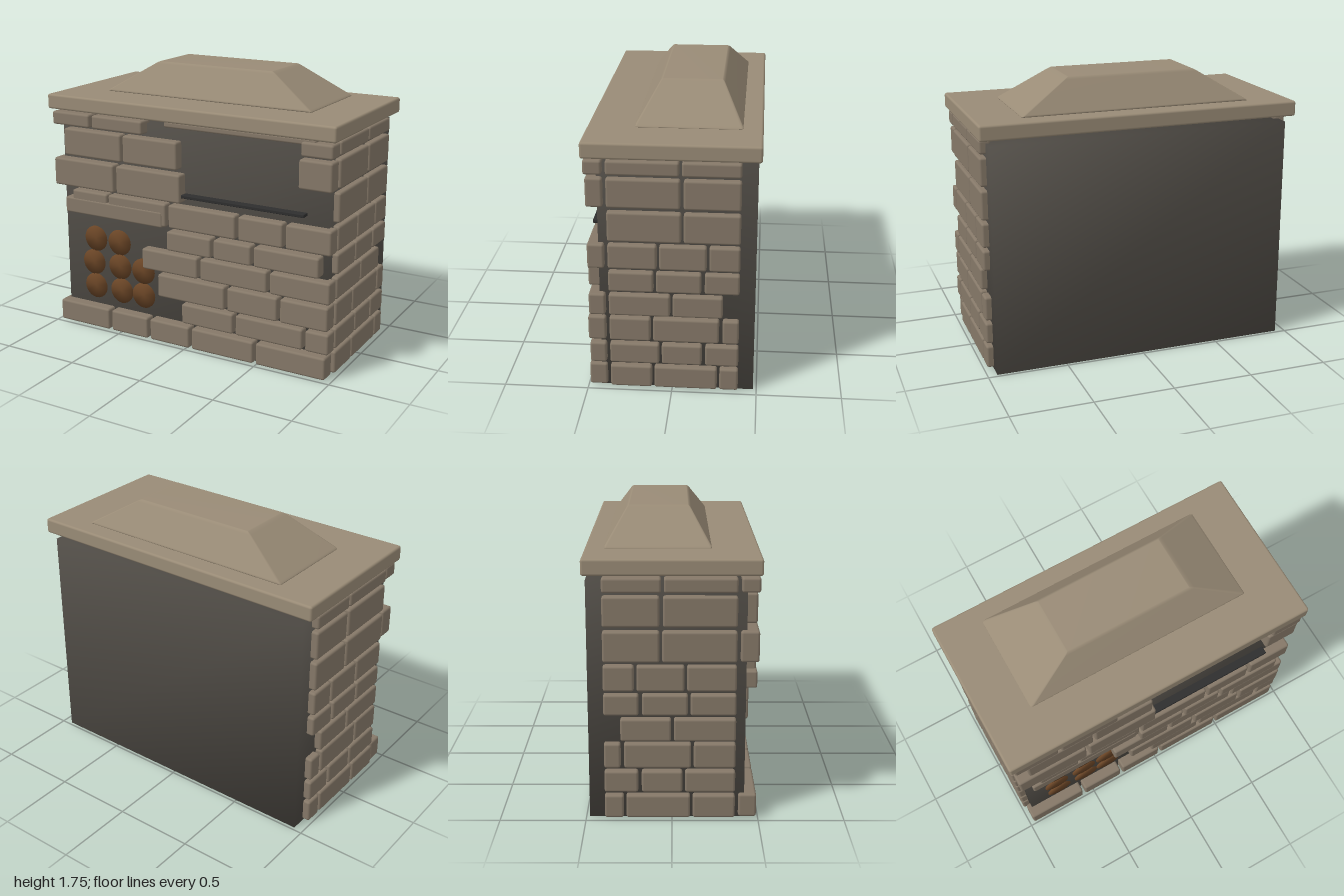
import * as THREE from 'three';
import { RoundedBoxGeometry } from 'three/addons/geometries/RoundedBoxGeometry.js';
import { mergeVertices } from 'three/addons/utils/BufferGeometryUtils.js';

const material = (color) => new THREE.MeshStandardMaterial({ color, roughness: 0.9 });
const brickMat = material(0x857868);
const stoneMat = material(0x998b76);
const coreMat = material(0x4f4b45);
const logMat = material(0x6a4526);
const ironMat = material(0x2e2e2e);

// Shares corner normals so a simple solid shades softly
function smooth(geometry) {
  geometry.deleteAttribute('normal');
  geometry.deleteAttribute('uv');
  const merged = mergeVertices(geometry);
  merged.computeVertexNormals();
  return merged;
}

// Rounded block given by its extents on each axis
function block(name, [x0, x1], [y0, y1], [z0, z1], radius, mat) {
  const geometry = new RoundedBoxGeometry(x1 - x0, y1 - y0, z1 - z0, 2, radius);
  const mesh = new THREE.Mesh(geometry, mat);
  mesh.position.set((x0 + x1) / 2, (y0 + y1) / 2, (z0 + z1) / 2);
  mesh.name = name;
  return mesh;
}

// Each course: height range, front bricks (x ranges), side bricks (z ranges)
const courses = [
  { y: [0.01, 0.15], front: [[-0.97, -0.58], [-0.56, -0.28], [-0.26, 0.03], [0.05, 0.485], [0.505, 0.965]],
    side: [[0.12, 0.365], [-0.265, 0.105], [-0.39, -0.28]] },
  { y: [0.17, 0.3], front: [[-0.025, 0.34], [0.36, 0.81], [0.83, 0.98]],
    side: [[0.075, 0.365], [-0.175, 0.06], [-0.39, -0.195]] },
  { y: [0.32, 0.47], front: [[-0.195, 0.285], [0.305, 0.645], [0.665, 0.975]],
    side: [[0.125, 0.365], [-0.275, 0.11], [-0.39, -0.295]] },
  { y: [0.485, 0.62], front: [[-0.315, 0.09], [0.11, 0.57], [0.59, 0.98]],
    side: [[0.01, 0.365], [-0.295, -0.005]] },
  { y: [0.64, 0.765], front: [[-0.125, 0.19], [0.21, 0.465], [0.485, 0.91]],
    side: [[0.105, 0.365], [-0.17, 0.09], [-0.39, -0.19]] },
  { y: [0.785, 0.935], front: [[-0.845, -0.575], [-0.565, -0.135], [-0.115, 0.355], [0.375, 0.67], [0.69, 0.98]],
    side: [[0.085, 0.365], [-0.2, 0.07], [-0.39, -0.215]] },
  { y: [0.955, 1.135], front: [[-0.975, -0.515], [-0.495, -0.025]],
    side: [[-0.055, 0.365], [-0.39, -0.07]] },
  { y: [1.16, 1.335], front: [[-0.895, -0.46], [-0.445, -0.05], [0.765, 0.975]],
    side: [[-0.05, 0.365], [-0.39, -0.07]] },
  { y: [1.355, 1.44], front: [[-0.975, -0.69], [-0.67, -0.295], [0.78, 0.98]],
    side: [[-0.045, 0.365], [-0.39, -0.06]] },
];

function createBrickwork() {
  const front = new THREE.Group();
  const sides = new THREE.Group();
  front.name = 'frontBricks';
  sides.name = 'sideBricks';
  courses.forEach(({ y, front: xs, side: zs }, i) => {
    const faceZ = i % 2 ? 0.482 : 0.49;
    xs.forEach((x) => front.add(block('frontBrick', x, y, [0.385, faceZ], 0.014, brickMat)));
    zs.forEach((z) => {
      sides.add(block('leftSideBrick', [0.91, 0.98], y, z, 0.014, brickMat));
      sides.add(block('rightSideBrick', [-0.985, -0.91], y, z, 0.014, brickMat));
    });
  });
  return [front, sides];
}

// Stacked log ends in the wood store
function createLogs() {
  const logs = new THREE.Group();
  logs.name = 'logs';
  const geometry = smooth(new THREE.CylinderGeometry(0.085, 0.085, 0.2, 24).rotateX(Math.PI / 2));
  const centres = [
    [-0.71, 0.605], [-0.525, 0.605],
    [-0.73, 0.44], [-0.525, 0.44], [-0.345, 0.44],
    [-0.72, 0.275], [-0.515, 0.275], [-0.345, 0.275],
  ];
  centres.forEach(([x, y]) => {
    const log = new THREE.Mesh(geometry, logMat);
    log.name = 'log';
    log.position.set(x, y, 0.327);
    logs.add(log);
  });
  return logs;
}

// Hipped chimney hood: a soft-edged block tapered toward its top
function createHood() {
  const geometry = new RoundedBoxGeometry(1.46, 0.2, 0.625, 3, 0.015);
  const p = geometry.attributes.position;
  for (let i = 0; i < p.count; i++) {
    const t = THREE.MathUtils.clamp(p.getY(i) / 0.2 + 0.5, 0, 1);
    p.setX(i, p.getX(i) * THREE.MathUtils.lerp(1, 0.555, t));
    p.setZ(i, p.getZ(i) * THREE.MathUtils.lerp(1, 0.58, t));
  }
  const hood = new THREE.Mesh(smooth(geometry), stoneMat);
  hood.name = 'chimneyHood';
  hood.position.set(0, 1.65, -0.08);
  return hood;
}

export function createModel() {
  const model = new THREE.Group();
  model.name = 'brickFireplace';

  // Dark masonry body behind the bricks
  const core = new THREE.Mesh(smooth(new THREE.BoxGeometry(1.88, 1.42, 0.9)), coreMat);
  core.name = 'core';
  core.position.set(0, 0.71, -0.03);
  model.add(core, ...createBrickwork(), createLogs());

  // Lintels over the wood store and the firebox, and the grate bar
  model.add(
    block('woodStoreLintel', [-0.9, -0.16], [0.778, 0.88], [0.39, 0.486], 0.012, brickMat),
    block('fireboxLintel', [-0.145, 0.865], [1.418, 1.456], [0.38, 0.47], 0.012, brickMat),
    block('grateBar', [-0.05, 0.8], [0.988, 1.008], [0.4, 0.47], 0.004, ironMat),
  );

  // Cap slab and hood
  model.add(block('capSlab', [-1, 1], [1.455, 1.55], [-0.5, 0.5], 0.014, stoneMat), createHood());
  return model;
}
